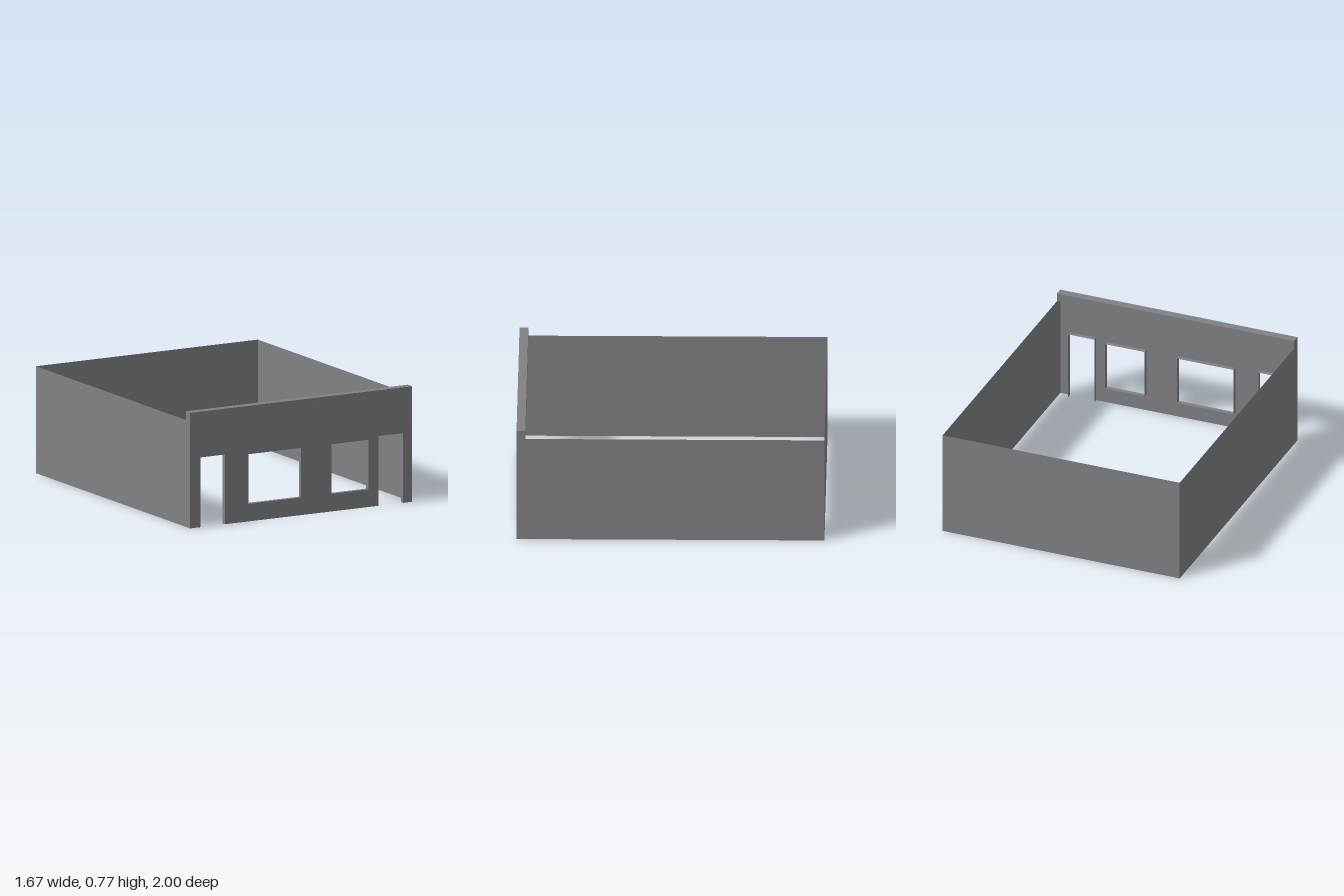
import * as THREE from 'three';

const W = 0.833, H = 0.71, TOP = 0.767, REVEAL = 0.03, CAP = 0.057;

// Openings in the facade: left edge, right edge, bottom, top
const doors = [[-0.755, -0.572, 0, 0.463], [0.582, 0.765, 0, 0.463]];
const windows = [[-0.397, 0, 0.117, 0.446], [0.228, 0.505, 0.117, 0.446]];

export function createModel() {
  const group = new THREE.Group();
  const wallGrey = new THREE.MeshStandardMaterial({ color: 0x808184, side: THREE.DoubleSide });
  wallGrey.name = 'wallGrey';

  const add = (name, geometry, x, y, z, rx = 0, ry = 0) => {
    const mesh = new THREE.Mesh(geometry, wallGrey);
    mesh.name = name;
    mesh.position.set(x, y, z);
    mesh.rotation.set(rx, ry, 0);
    group.add(mesh);
  };

  // Thin side and back walls
  add('leftWall', new THREE.PlaneGeometry(2, H), W, H / 2, 0, 0, Math.PI / 2);
  add('rightWall', new THREE.PlaneGeometry(2, H), -W, H / 2, 0, 0, -Math.PI / 2);
  add('backWall', new THREE.PlaneGeometry(2 * W, H), 0, H / 2, -1, 0, Math.PI);

  // Front wall: door notches along the bottom edge, window holes above
  const facade = new THREE.Shape();
  facade.moveTo(-W, 0);
  for (const [l, r, b, t] of doors) {
    facade.lineTo(l, b);
    facade.lineTo(l, t);
    facade.lineTo(r, t);
    facade.lineTo(r, b);
  }
  facade.lineTo(W, 0);
  facade.lineTo(W, H);
  facade.lineTo(-W, H);
  facade.closePath();
  for (const [l, r, b, t] of windows) {
    facade.holes.push(new THREE.Path([
      new THREE.Vector2(l, b), new THREE.Vector2(l, t),
      new THREE.Vector2(r, t), new THREE.Vector2(r, b), new THREE.Vector2(l, b),
    ]));
  }
  add('frontWall', new THREE.ShapeGeometry(facade), 0, 0, 1);

  // Thin reveals running inward from each opening
  const addReveal = (name, [l, r, b, t], sill) => {
    const z = 1 - REVEAL / 2, cx = (l + r) / 2, cy = (b + t) / 2;
    add(name + 'LeftJamb', new THREE.PlaneGeometry(REVEAL, t - b), r, cy, z, 0, -Math.PI / 2);
    add(name + 'RightJamb', new THREE.PlaneGeometry(REVEAL, t - b), l, cy, z, 0, Math.PI / 2);
    add(name + 'Head', new THREE.PlaneGeometry(r - l, REVEAL), cx, t, z, Math.PI / 2);
    if (sill) add(name + 'Sill', new THREE.PlaneGeometry(r - l, REVEAL), cx, b, z, -Math.PI / 2);
  };
  doors.forEach((d) => addReveal('door', d, false));
  windows.forEach((w) => addReveal('window', w, true));

  // Parapet along the top of the facade
  add('parapet', new THREE.BoxGeometry(2 * W, TOP - H, CAP), 0, (TOP + H) / 2, 1 - CAP / 2);

  return group;
}
